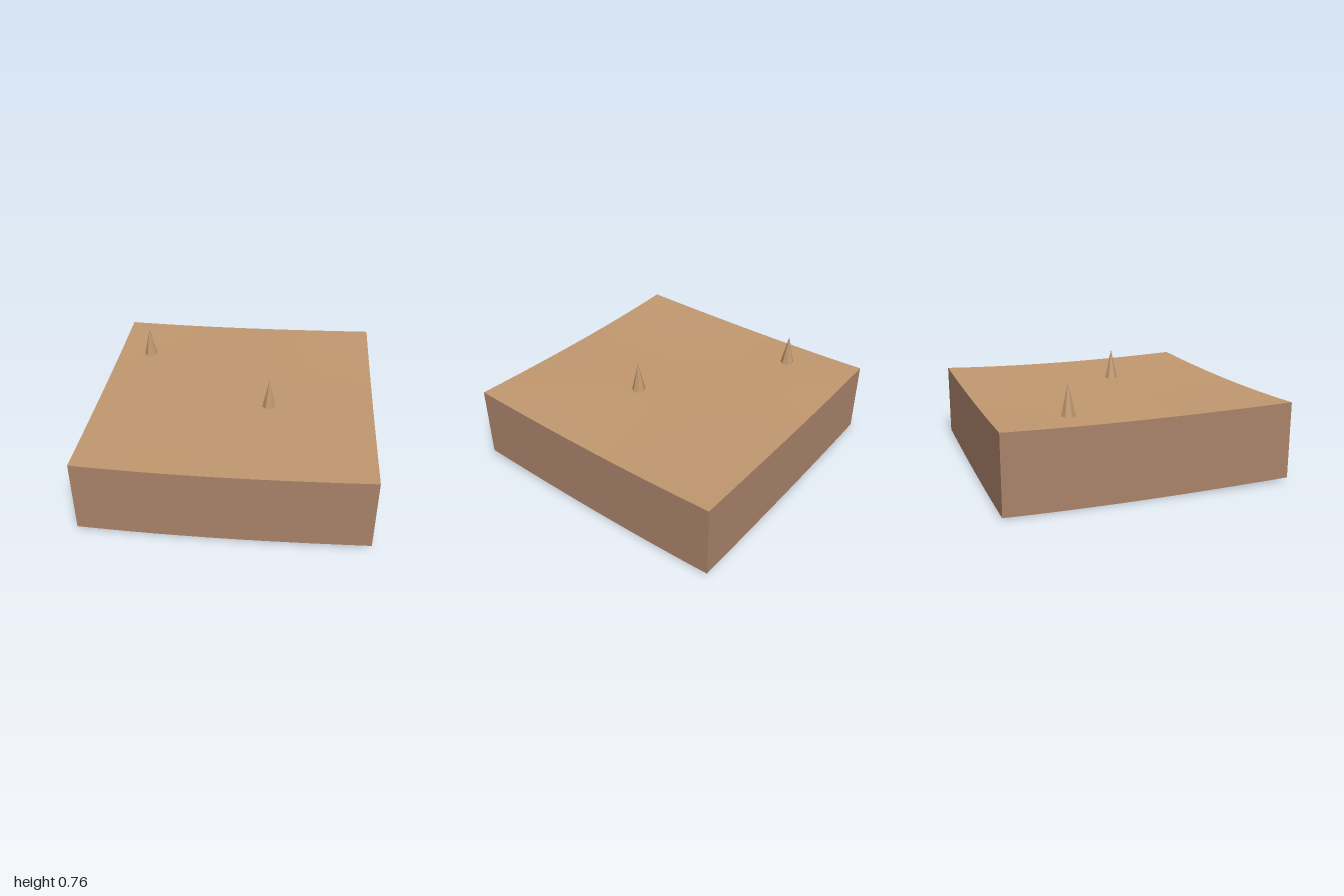
import * as THREE from 'three';

const DEPTH = 0.535; // height of the side skirts
const SEG = 24;

// gently rolling ground: corners lifted, front corner highest
const height = (x, z) =>
  0.541 + 0.019 * x * x * z * z + 0.0075 * x * z * (x + z) + 0.003 * (x + z) * (1 - x * x * z * z);

export function createModel() {
  const group = new THREE.Group();
  const sand = new THREE.MeshStandardMaterial({ color: 0xc1986f, side: THREE.DoubleSide });
  const earth = new THREE.MeshStandardMaterial({ color: 0xa9826a, side: THREE.DoubleSide });

  const add = (geometry, material, name) => {
    const mesh = new THREE.Mesh(geometry, material);
    mesh.name = name;
    group.add(mesh);
    return mesh;
  };

  // ground surface
  const ground = new THREE.PlaneGeometry(2, 2, SEG, SEG).rotateX(-Math.PI / 2);
  const g = ground.attributes.position;
  for (let i = 0; i < g.count; i++) g.setY(i, height(g.getX(i), g.getZ(i)));
  ground.computeVertexNormals();
  add(ground, sand, 'groundSurface');

  // four thin skirts whose top and bottom both follow the ground edge
  ['frontWall', 'leftWall', 'backWall', 'rightWall'].forEach((name, k) => {
    const wall = new THREE.PlaneGeometry(2, 1, SEG, 1)
      .translate(0, 0, 1)
      .rotateY((k * Math.PI) / 2);
    const p = wall.attributes.position;
    for (let i = 0; i < p.count; i++) {
      const top = height(p.getX(i), p.getZ(i));
      p.setY(i, p.getY(i) > 0 ? top : top - DEPTH);
    }
    add(wall, earth, name);
  });

  // seven-sided spikes standing on the ground
  const spikeHeight = 0.22;
  const spike = new THREE.ConeGeometry(0.05, spikeHeight, 7)
    .rotateY(Math.PI)
    .toNonIndexed();
  spike.computeVertexNormals();
  [[-0.75, -0.5, 'backSpike'], [0.25, 0.167, 'middleSpike']].forEach(([x, z, name]) => {
    add(spike, sand, name).position.set(x, height(x, z) + spikeHeight / 2 + 0.003, z);
  });

  return group;
}
